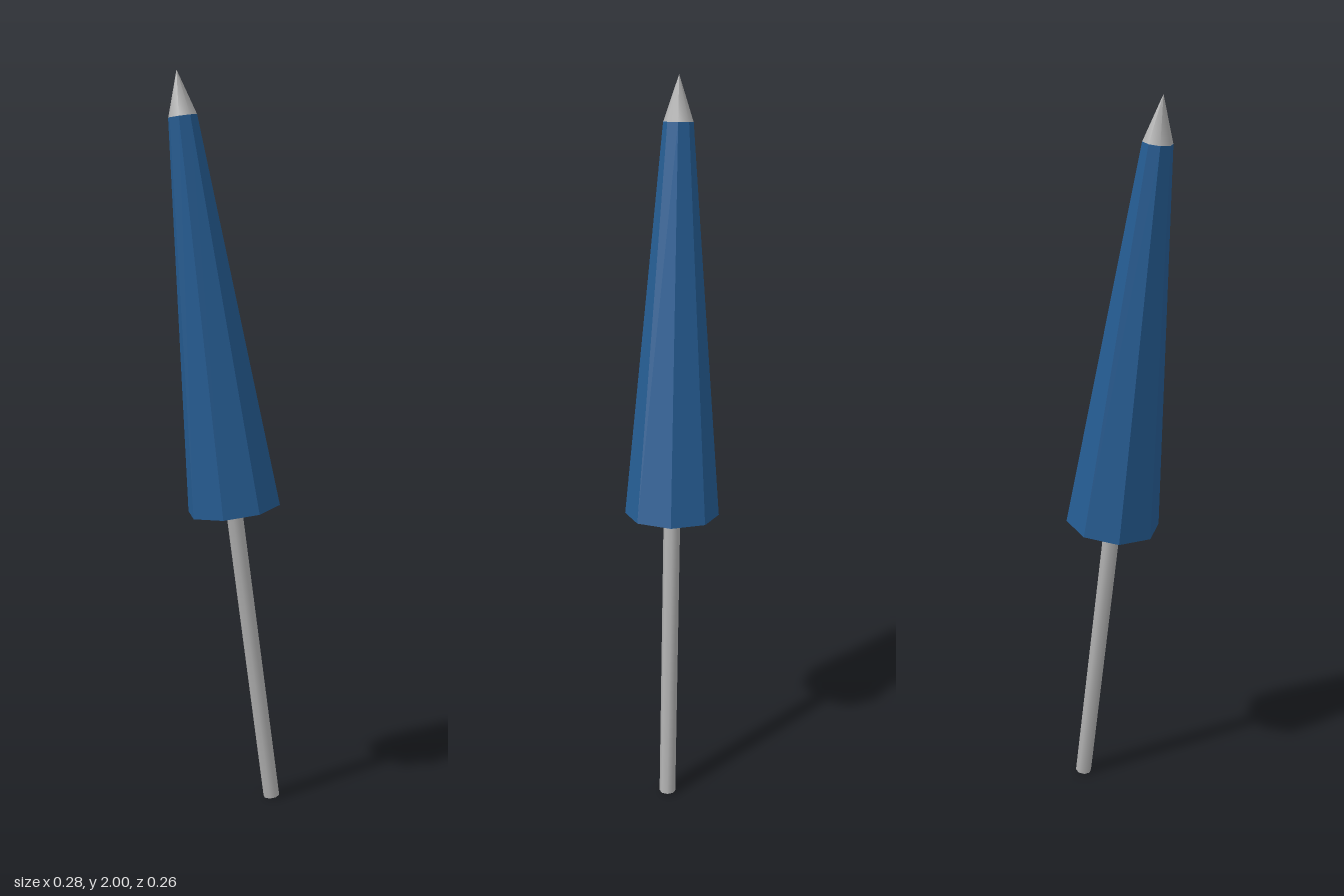
import * as THREE from 'three';

export function createModel() {
  const group = new THREE.Group();
  group.name = 'closedParasol';

  const metal = new THREE.MeshStandardMaterial({ color: 0xb0b0b0 });
  metal.name = 'greyMetal';
  const fabric = new THREE.MeshStandardMaterial({ color: 0x255c92, flatShading: true });
  fabric.name = 'blueFabric';

  // The whole parasol leans along one axis, from foot to point
  const foot = new THREE.Vector3(0.105, 0.003, -0.08);
  const point = new THREE.Vector3(-0.115, 2, 0.103);
  const length = foot.distanceTo(point);
  const leaning = new THREE.Group();
  leaning.name = 'leaningParasol';
  leaning.position.copy(foot);
  leaning.quaternion.setFromUnitVectors(
    new THREE.Vector3(0, 1, 0), point.clone().sub(foot).normalize());
  group.add(leaning);

  // Eight-sided section between two distances along the axis
  function section(name, from, to, bottomRadius, topRadius, material) {
    const geometry = new THREE.CylinderGeometry(topRadius, bottomRadius, to - from, 8);
    geometry.translate(0, (from + to) / 2, 0);
    const mesh = new THREE.Mesh(geometry, material);
    mesh.name = name;
    leaning.add(mesh);
  }

  const canopyBottom = 0.851, canopyTop = 1.901;
  section('pole', 0, canopyTop - 0.05, 0.023, 0.023, metal);
  section('foldedCanopy', canopyBottom, canopyTop, 0.129, 0.039, fabric);
  section('pointedTip', canopyTop - 0.001, length, 0.039, 0, metal);

  return group;
}
